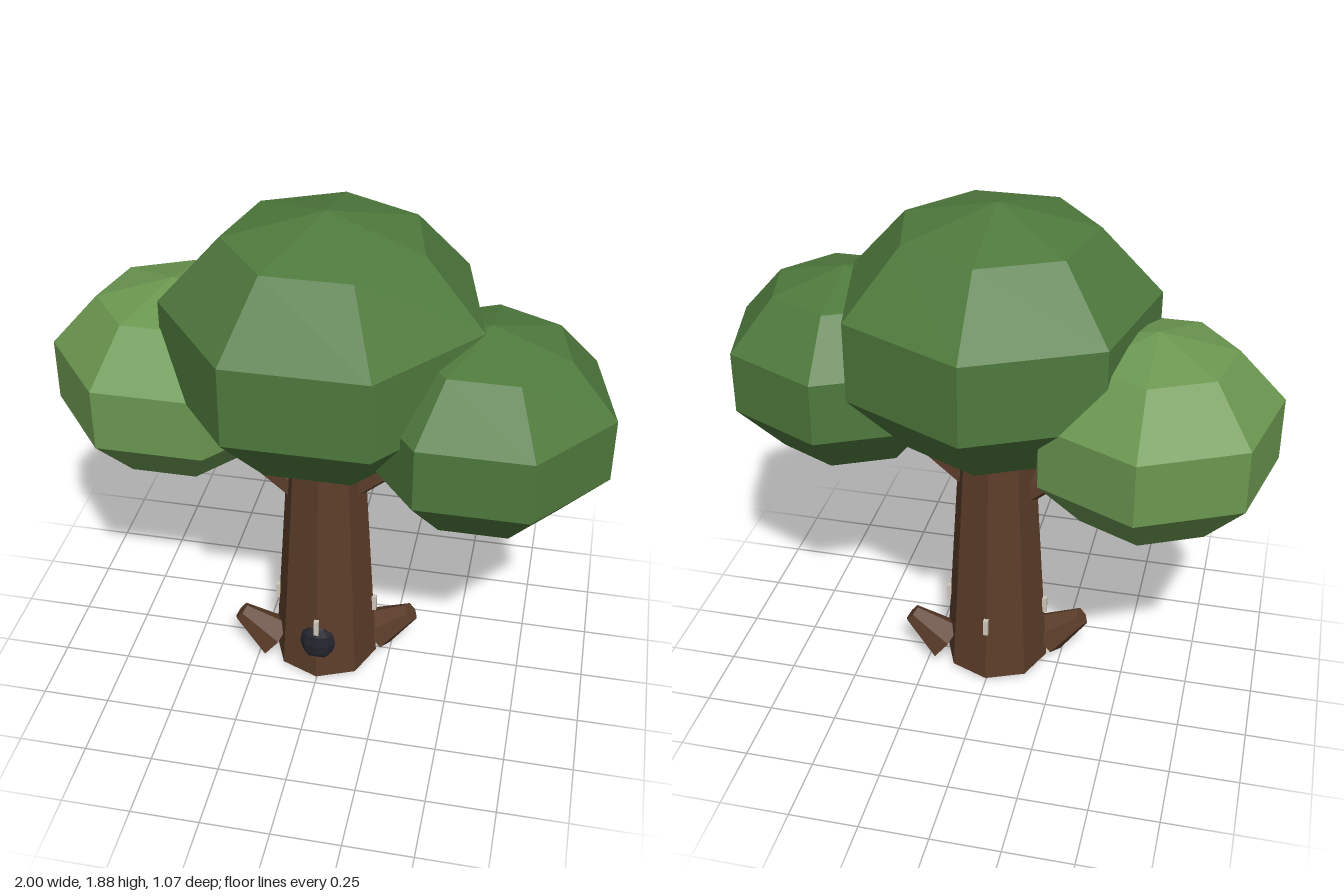
import * as THREE from 'three';

const paint = (color) => new THREE.MeshStandardMaterial({ color, flatShading: true });
const BARK = paint(0x5c3d2a);
const LEAF = paint(0x4f7a3d);
const LIGHT_LEAF = paint(0x6c9851);
const DARK = paint(0x25252f);
const PALE = paint(0xcfc8ba);

const TRUNK_Z = 0.03;

export function createModel() {
  const tree = new THREE.Group();
  tree.name = 'tree';

  const add = (name, geometry, material, x, y, z) => {
    const mesh = new THREE.Mesh(geometry, material);
    mesh.name = name;
    mesh.position.set(x, y, z);
    tree.add(mesh);
    return mesh;
  };

  // Tapered limb running between two points
  const limb = (name, from, to, r0, r1, sides) => {
    const a = new THREE.Vector3(...from);
    const b = new THREE.Vector3(...to);
    const dir = b.clone().sub(a);
    const geometry = new THREE.CylinderGeometry(r1, r0, dir.length(), sides, 1, false, Math.PI / 2);
    const mid = a.add(b).multiplyScalar(0.5);
    const mesh = add(name, geometry, BARK, mid.x, mid.y, mid.z);
    mesh.quaternion.setFromUnitVectors(new THREE.Vector3(0, 1, 0), dir.normalize());
  };

  // Squashed seven-sided leaf ball, one corner pointing backwards
  const crown = (name, material, x, y, z, r, ry) => {
    const geometry = new THREE.SphereGeometry(r, 7, 5, -Math.PI / 2);
    geometry.scale(1, ry / r, 1);
    add(name, geometry, material, x, y, z);
  };

  // Trunk
  limb('trunk', [0, 0.015, TRUNK_Z], [0, 1.1, TRUNK_Z], 0.199, 0.132, 8);

  // Branches
  limb('rightBranch', [-0.06, 0.73, 0.03], [-0.29, 0.912, 0.03], 0.056, 0.048, 6);
  limb('leftBranch', [0.06, 0.775, 0.03], [0.38, 1.03, 0.03], 0.058, 0.046, 6);

  // Roots
  limb('rightRoot', [-0.19, 0.07, 0.09], [-0.325, 0.175, 0.09], 0.087, 0.037, 6);
  limb('leftRoot', [0.19, 0.07, -0.035], [0.325, 0.175, -0.035], 0.087, 0.037, 6);

  // Crowns
  crown('mainCrown', LEAF, 0, 1.41, 0.03, 0.594, 0.47);
  crown('leftCrown', LEAF, 0.57, 1.195, 0.11, 0.464, 0.37);
  crown('rightCrown', LIGHT_LEAF, -0.57, 1.153, -0.08, 0.464, 0.37);

  // Dark knot hole on the front of the trunk
  const knot = add('knotHole', new THREE.SphereGeometry(1, 8, 6), DARK, 0, 0.167, 0.195);
  knot.scale.set(0.068, 0.085, 0.038);

  // Pale pegs that just break the bark on four sides
  for (let i = 0; i < 4; i++) {
    const a = (i * Math.PI) / 2;
    const peg = add('peg', new THREE.BoxGeometry(0.018, 0.065, 0.06), PALE,
      Math.sin(a) * 0.167, 0.255, TRUNK_Z + Math.cos(a) * 0.167);
    peg.rotation.y = a;
  }

  return tree;
}
